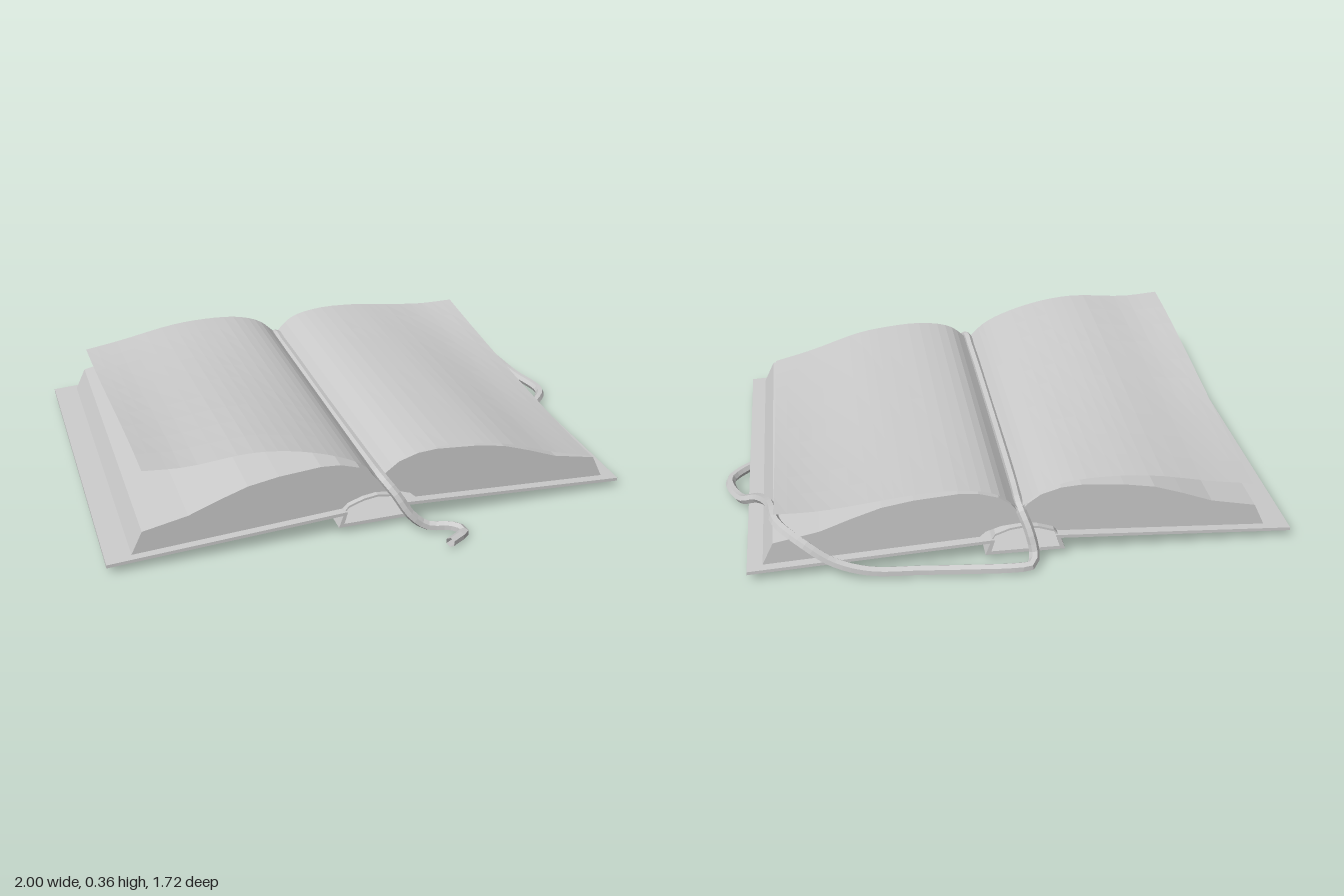
import * as THREE from 'three';

const material = new THREE.MeshStandardMaterial({ color: 0xcccccc, flatShading: true, side: THREE.DoubleSide });

function addMesh(group, name, geometry) {
  const mesh = new THREE.Mesh(geometry, material);
  mesh.name = name;
  group.add(mesh);
}

// Extrude an x/y outline between two z positions
function prism(points, z0, z1) {
  const shape = new THREE.Shape(points.map(([x, y]) => new THREE.Vector2(x, y)));
  const g = new THREE.ExtrudeGeometry(shape, { depth: z1 - z0, bevelEnabled: false });
  return g.translate(0, 0, z0);
}

// Give an open x/y line a thickness (downwards) so it can be extruded
const thicken = (line, t) => [...line, ...line.slice().reverse().map(([x, y]) => [x, y - t])];

const mirror = (points, centre) => points.map(([x, y]) => [2 * centre - x, y]);

const smoothLine = (points, n) =>
  new THREE.CatmullRomCurve3(points.map(([x, y]) => new THREE.Vector3(x, y, 0))).getPoints(n);

// Loose leaf: sheet blended from a front edge line to a back edge line
function leaf(front, back, z0, z1, ease) {
  const nx = 20, nz = 10;
  const f = smoothLine(front, nx), b = smoothLine(back, nx);
  const g = new THREE.PlaneGeometry(1, 1, nx, nz);
  const pos = g.attributes.position;
  for (let j = 0; j <= nz; j++) {
    const t = j / nz;
    for (let i = 0; i <= nx; i++) {
      const p = f[i].clone().lerp(b[i], ease(t));
      pos.setXYZ(j * (nx + 1) + i, p.x, p.y, z0 + (z1 - z0) * t);
    }
  }
  g.computeVertexNormals();
  return g;
}

export function createModel() {
  const book = new THREE.Group();
  book.name = 'openBook';
  const coverFront = 0.65, coverBack = -0.77, pageFront = 0.62, pageBack = -0.74;

  // Cover boards, sloping up towards the spine
  const board = thicken([[-1, 0.037], [-0.165, 0.085]], 0.012);
  addMesh(book, 'leftCover', prism(board, coverBack, coverFront));
  addMesh(book, 'rightCover', prism(mirror(board, -0.045), coverBack, coverFront));

  // Hollow spine: flat back with short side walls
  addMesh(book, 'spine', prism([
    [-0.165, 0.085], [-0.185, 0.027], [0.095, 0.027], [0.075, 0.085],
    [0.062, 0.085], [0.075, 0.04], [-0.165, 0.04], [-0.152, 0.085],
  ], coverBack, coverFront));

  // Arched lining that the pages are bound to
  const arch = [[-0.165, 0.078], [-0.145, 0.104], [-0.09, 0.123], [-0.04, 0.13],
    [0.01, 0.123], [0.06, 0.104], [0.075, 0.078]];
  addMesh(book, 'bindingLining', prism(thicken(arch, 0.008), -0.76, 0.64));

  // Page blocks
  const block = [
    [-0.91, 0.042], [-0.87, 0.125], [-0.71, 0.158], [-0.6, 0.2], [-0.5, 0.234], [-0.39, 0.253],
    [-0.24, 0.265], [-0.17, 0.26], [-0.1, 0.238], [-0.055, 0.205], [-0.027, 0.17],
    [-0.027, 0.128], [-0.09, 0.122], [-0.145, 0.103], [-0.165, 0.084],
  ];
  addMesh(book, 'leftPages', prism(block, pageBack, pageFront));
  addMesh(book, 'rightPages', prism(mirror(block, -0.027), pageBack, pageFront));

  // Loose leaves lifting off the blocks
  addMesh(book, 'leftLeaf', leaf(
    [[-0.855, 0.355], [-0.71, 0.345], [-0.49, 0.36], [-0.35, 0.345], [-0.2, 0.303], [-0.1, 0.255], [-0.035, 0.195]],
    [[-0.855, 0.215], [-0.71, 0.238], [-0.49, 0.28], [-0.35, 0.29], [-0.2, 0.282], [-0.1, 0.25], [-0.035, 0.195]],
    pageFront, pageBack, t => 0.5 * t + 0.5 * t * t * (3 - 2 * t)));
  addMesh(book, 'rightLeaf', leaf(
    [[-0.02, 0.19], [0.05, 0.247], [0.17, 0.272], [0.33, 0.263], [0.45, 0.242], [0.65, 0.175], [0.805, 0.133]],
    [[-0.02, 0.19], [0.05, 0.25], [0.17, 0.277], [0.33, 0.275], [0.45, 0.262], [0.65, 0.24], [0.805, 0.24]],
    pageFront, pageBack, t => Math.pow(t, 1.5)));

  // Ribbon marker: front tail, along the gutter, down the back and round the right side
  const ribbonPath = [
    [0.155, 0.019, 0.845], [0.23, 0.019, 0.79], [0.2, 0.019, 0.745], [0.12, 0.022, 0.72],
    [0.06, 0.07, 0.71], [0.01, 0.15, 0.685], [-0.02, 0.19, 0.64], [-0.026, 0.195, 0.5],
    [-0.03, 0.195, 0], [-0.03, 0.195, -0.6], [-0.03, 0.185, -0.73], [-0.055, 0.12, -0.775],
    [-0.07, 0.04, -0.805], [-0.055, 0.02, -0.84], [0, 0.019, -0.847], [0.15, 0.019, -0.835],
    [0.32, 0.02, -0.818], [0.5, 0.03, -0.81], [0.62, 0.065, -0.79], [0.72, 0.125, -0.75],
    [0.8, 0.152, -0.66], [0.825, 0.14, -0.52], [0.87, 0.095, -0.4], [0.935, 0.04, -0.31],
    [0.982, 0.022, -0.15], [0.92, 0.019, -0.06], [0.83, 0.017, 0],
  ].map(p => new THREE.Vector3(...p));
  const ribbon = new THREE.CatmullRomCurve3(ribbonPath, false, 'centripetal');
  addMesh(book, 'ribbonMarker', new THREE.TubeGeometry(ribbon, 130, 0.018, 6));

  return book;
}
